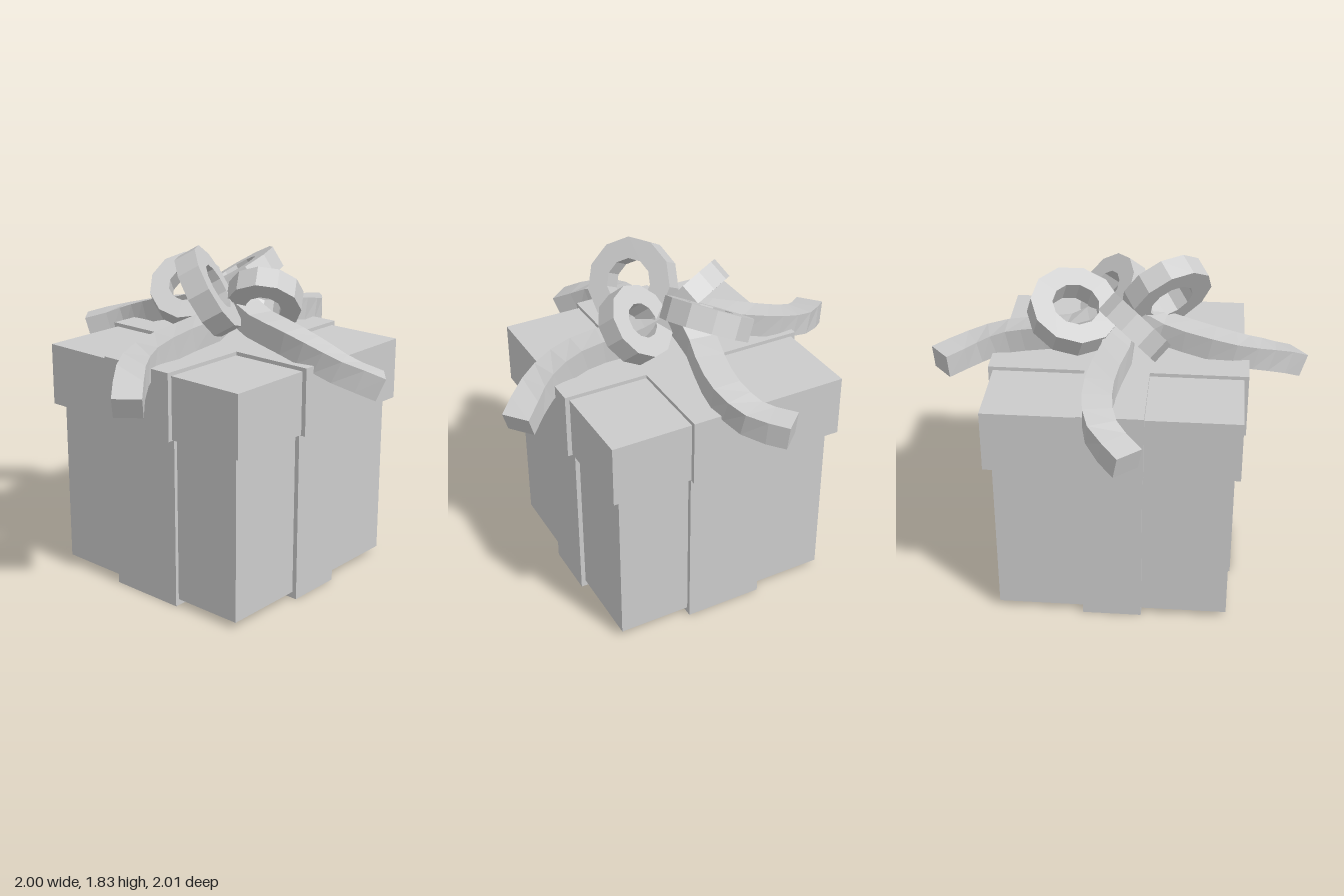
import * as THREE from 'three';

const mat = new THREE.MeshStandardMaterial({ color: 0xcccccc, flatShading: true, side: THREE.DoubleSide });

// Axis-aligned block from its min/max limits
function block(name, x0, x1, y0, y1, z0, z1) {
  const m = new THREE.Mesh(new THREE.BoxGeometry(x1 - x0, y1 - y0, z1 - z0), mat);
  m.position.set((x0 + x1) / 2, (y0 + y1) / 2, (z0 + z1) / 2);
  m.name = name;
  return m;
}

// Rectangular section swept along a path, kept level sideways
function strip(name, pts, width, thick) {
  const curve = new THREE.CatmullRomCurve3(pts.map(p => new THREE.Vector3(...p)));
  const n = 9, pos = [], idx = [];
  const up = new THREE.Vector3(0, 1, 0);
  for (let i = 0; i <= n; i++) {
    const c = curve.getPoint(i / n), t = curve.getTangent(i / n);
    const side = new THREE.Vector3().crossVectors(t, up).normalize();
    const nor = new THREE.Vector3().crossVectors(side, t).normalize();
    for (const [a, b] of [[-1, -1], [1, -1], [1, 1], [-1, 1]]) {
      const v = c.clone().addScaledVector(side, a * width / 2).addScaledVector(nor, b * thick / 2);
      pos.push(v.x, v.y, v.z);
    }
  }
  for (let i = 0; i < n; i++) {
    for (let k = 0; k < 4; k++) {
      const a = i * 4 + k, b = i * 4 + (k + 1) % 4;
      idx.push(a, b + 4, b, a, a + 4, b + 4);
    }
  }
  const e = n * 4;
  idx.push(0, 1, 2, 0, 2, 3, e, e + 2, e + 1, e, e + 3, e + 2);
  // Turn the winding outward
  for (let i = 0; i < idx.length; i += 3) [idx[i + 1], idx[i + 2]] = [idx[i + 2], idx[i + 1]];
  const g = new THREE.BufferGeometry();
  g.setAttribute('position', new THREE.Float32BufferAttribute(pos, 3));
  g.setIndex(idx);
  g.computeVertexNormals();
  const m = new THREE.Mesh(g, mat);
  m.name = name;
  return m;
}

// Faceted ribbon loop, facing along the given axis
function loop(name, centre, axis, outer, inner, half) {
  const profile = [[inner, -half], [outer, -half], [outer, half], [inner, half], [inner, -half]];
  const g = new THREE.LatheGeometry(profile.map(p => new THREE.Vector2(...p)), 11);
  const m = new THREE.Mesh(g, mat);
  m.position.set(...centre);
  m.quaternion.setFromUnitVectors(new THREE.Vector3(0, 1, 0), new THREE.Vector3(...axis).normalize());
  m.name = name;
  return m;
}

export function createModel() {
  const model = new THREE.Group();
  model.name = 'giftBox';

  // Box and its crossed ribbon
  model.add(
    block('boxBody', -0.625, 0.61, 0.035, 0.93, -0.585, 0.64),
    block('boxRibbonFrontBack', -0.165, 0.15, 0, 0.94, -0.605, 0.665),
    block('boxRibbonSides', -0.645, 0.635, 0, 0.94, -0.185, 0.245)
  );

  // Lid and its crossed ribbon
  model.add(
    block('lid', -0.665, 0.65, 0.935, 1.27, -0.635, 0.685),
    block('lidRibbonFrontBack', -0.175, 0.165, 0.93, 1.29, -0.66, 0.71),
    block('lidRibbonSides', -0.69, 0.675, 0.93, 1.29, -0.2, 0.25)
  );

  // Bow: four loops and four trailing ends around the centre
  const bow = new THREE.Group();
  bow.name = 'bow';
  bow.add(
    loop('rightLoop', [-0.24, 1.6, 0.115], [0.5, 0.5, 0.71], 0.238, 0.125, 0.06),
    loop('leftLoop', [0.23, 1.57, -0.07], [-0.26, 0.86, -0.44], 0.238, 0.125, 0.06),
    loop('frontLoop', [0.05, 1.53, 0.25], [0.65, 0.65, -0.4], 0.2, 0.095, 0.06),
    loop('backLoop', [-0.09, 1.54, -0.17], [-0.65, 0.65, 0.4], 0.2, 0.095, 0.06)
  );
  const tails = {
    rightTail: [[-0.945, 1.165, 0.225], [-0.79, 1.26, 0.1], [-0.65, 1.31, 0.045], [-0.44, 1.36, 0.05], [-0.2, 1.41, 0.1], [-0.02, 1.5, 0.06]],
    leftTail: [[0.935, 1.28, -0.15], [0.79, 1.3, -0.02], [0.63, 1.345, 0.03], [0.46, 1.38, 0.02], [0.22, 1.44, -0.03], [0.03, 1.53, 0]],
    frontTail: [[0.12, 1.18, 0.95], [0, 1.26, 0.8], [-0.05, 1.33, 0.66], [-0.06, 1.385, 0.48], [-0.02, 1.42, 0.25], [0.02, 1.5, 0.06]],
    backTail: [[-0.115, 1.215, -0.935], [0.02, 1.27, -0.78], [0.06, 1.32, -0.62], [0.05, 1.37, -0.45], [-0.01, 1.43, -0.22], [-0.01, 1.52, 0]]
  };
  for (const [name, pts] of Object.entries(tails)) bow.add(strip(name, pts, 0.15, 0.125));
  model.add(bow);

  return model;
}
